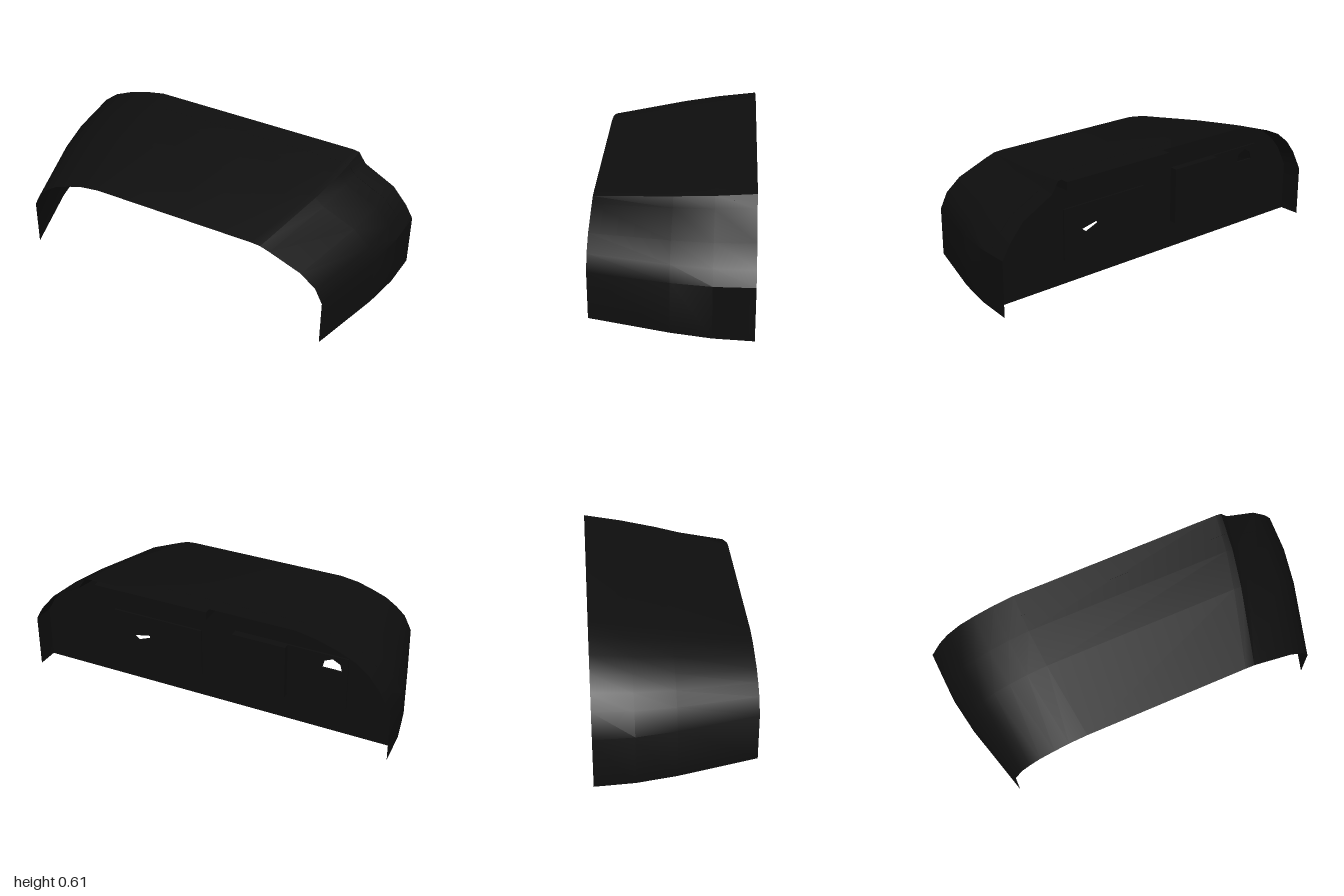
import * as THREE from 'three';
import { toCreasedNormals } from 'three/addons/utils/BufferGeometryUtils.js';

// Cross-sections of the cowl, from the right bottom edge over the top to the left bottom edge
const BACK = [
  [-1, 0], [-1, 0.27], [-0.94, 0.385], [-0.885, 0.455], [-0.81, 0.515], [-0.72, 0.555], [-0.61, 0.59], [-0.5, 0.611],
  [0.645, 0.611], [0.675, 0.605], [0.715, 0.545], [0.88, 0.455], [0.96, 0.36], [1, 0.29], [1, 0],
];
const FRONT = [
  [-0.84, 0], [-0.84, 0.255], [-0.8, 0.335], [-0.75, 0.38], [-0.69, 0.42], [-0.61, 0.45], [-0.53, 0.475], [-0.43, 0.489],
  [0.45, 0.489], [0.5, 0.485], [0.55, 0.468], [0.72, 0.4], [0.8, 0.335], [0.84, 0.255], [0.84, 0],
];
const STATIONS = [[-0.4, 1], [-0.2, 0.99], [0, 0.953], [0.4, 0.84]]; // z, half width
const PANEL_Z = -0.29;

function section(z) {
  const t = (z + 0.4) / 0.8;
  const i = z < -0.2 ? 0 : z < 0 ? 1 : 2;
  const [z0, w0] = STATIONS[i], [z1, w1] = STATIONS[i + 1];
  const width = w0 + (w1 - w0) * (z - z0) / (z1 - z0);
  const scale = width / (1 - 0.16 * t);
  return BACK.map(([x, y], k) => [
    (x + (FRONT[k][0] - x) * t) * scale,
    y + (FRONT[k][1] - y) * t + 0.016 * t * (1 - t),
  ]);
}

function cowlGeometry() {
  const pos = [], index = [], n = BACK.length;
  STATIONS.forEach(([z], r) => {
    section(z).forEach(([x, y]) => pos.push(x, y, z));
    if (r === 0) return;
    for (let k = 0; k < n - 1; k++) {
      const a = (r - 1) * n + k, b = a + n;
      index.push(a, b, a + 1, b, b + 1, a + 1);
    }
  });
  const g = new THREE.BufferGeometry();
  g.setAttribute('position', new THREE.Float32BufferAttribute(pos, 3));
  g.setIndex(index);
  return toCreasedNormals(g, 0.5);
}

const toPoints = (list) => list.map(([x, y]) => new THREE.Vector2(x, y));
const rect = (x0, y0, x1, y1) => toPoints([[x0, y0], [x1, y0], [x1, y1], [x0, y1]]);

// Small openings through the panel
const RIGHT_HOLE = [[-0.71, 0.37], [-0.605, 0.37], [-0.615, 0.412], [-0.66, 0.432], [-0.7, 0.41]];
const LEFT_HOLE = [[0.36, 0.275], [0.43, 0.247], [0.46, 0.27], [0.365, 0.29]];

function pierced(outline, ...holes) {
  const shape = new THREE.Shape(outline);
  holes.forEach((h) => shape.holes.push(new THREE.Path(toPoints(h))));
  return shape;
}

export function createModel() {
  const model = new THREE.Group();
  const black = new THREE.MeshStandardMaterial({ color: 0x0e0e0e, side: THREE.DoubleSide });
  black.name = 'black plastic';

  const add = (name, geometry, x = 0, y = 0, z = 0) => {
    const mesh = new THREE.Mesh(geometry, black);
    mesh.name = name;
    mesh.position.set(x, y, z);
    model.add(mesh);
  };
  const plate = (name, outline, hole) => add(name, new THREE.ExtrudeGeometry(
    pierced(outline, hole), { depth: 0.009, bevelEnabled: false }), 0, 0, PANEL_Z - 0.009);
  const box = (name, x0, x1, y0, y1, z0, z1) => add(name, new THREE.BoxGeometry(x1 - x0, y1 - y0, z1 - z0),
    (x0 + x1) / 2, (y0 + y1) / 2, (z0 + z1) / 2);

  // Sheet cowl and the instrument panel set into its rear
  add('cowl', cowlGeometry());
  add('instrumentPanel', new THREE.ShapeGeometry(
    pierced(toPoints(section(PANEL_Z)), RIGHT_HOLE, LEFT_HOLE)), 0, 0, PANEL_Z);

  // Raised panel sections
  plate('leftInstrumentPlate', rect(0.06, 0.13, 0.57, 0.4), LEFT_HOLE);
  plate('rightInstrumentPlate', rect(-0.74, 0.16, -0.42, 0.45), RIGHT_HOLE);
  box('centreInstrumentBlock', -0.42, -0.13, 0.15, 0.45, -0.33, PANEL_Z);

  // Glare hood under the rear edge
  box('glareHood', -0.02, 0.62, 0.54, 0.585, -0.395, PANEL_Z);

  return model;
}
